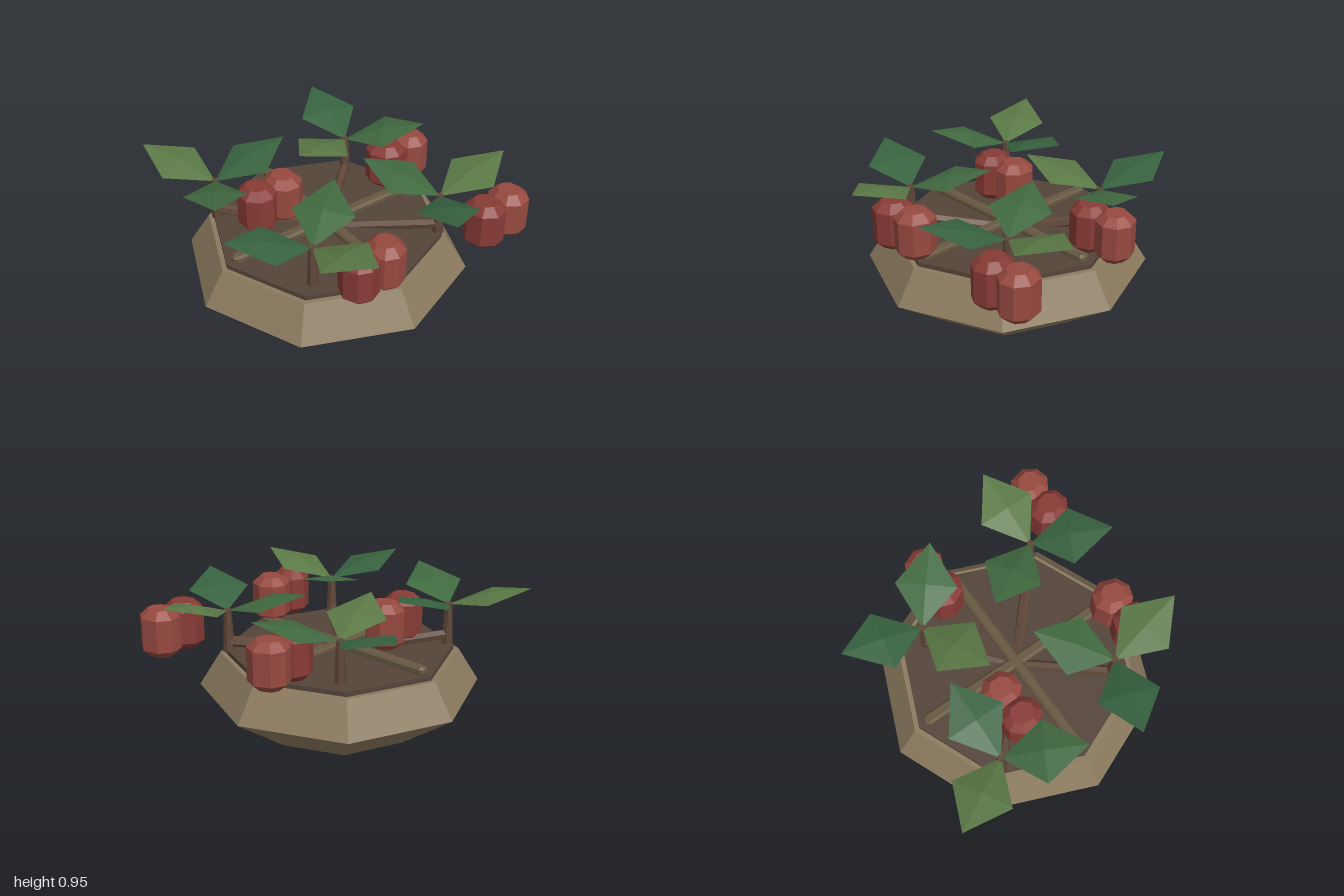
import * as THREE from 'three';

const mat = (color) => new THREE.MeshStandardMaterial({ color, flatShading: true });
const wood = mat(0x8b7a5e), beamWood = mat(0x665840), soil = mat(0x54443a), bark = mat(0x5e4638);
const leafMats = [mat(0x5a7845), mat(0x37623f), mat(0x40693f)];
const fruitMats = [mat(0x883b35), mat(0x96493f)];

const CX = -0.07, CZ = -0.025; // planter centre

function part(parent, name, geometry, material) {
  const mesh = new THREE.Mesh(geometry, material);
  mesh.name = name;
  parent.add(mesh);
  return mesh;
}

// Block with every edge cut at an angle, centred on its middle
function chamferBox(w, h, d, c) {
  const x = w / 2 - c, z = d / 2 - c;
  const k = c * 0.8;
  const shape = new THREE.Shape([
    [x - k, -z], [x, -z + k], [x, z - k], [x - k, z],
    [-x + k, z], [-x, z - k], [-x, -z + k], [-x + k, -z],
  ].map(([a, b]) => new THREE.Vector2(a, b)));
  const geo = new THREE.ExtrudeGeometry(shape, {
    depth: h - 2 * c, bevelEnabled: true, bevelSize: c, bevelThickness: c, bevelSegments: 1,
  });
  geo.center();
  return geo.rotateX(-Math.PI / 2);
}

// Diamond leaf with a raised middle, rising from the stalk top along +x
const leafGeo = new THREE.ConeGeometry(1, 0.03, 4)
  .translate(0, 0.015, 0)
  .scale(0.275, 1, 0.2)
  .rotateZ(0.267)
  .translate(0.265, 0.8725, 0);
const fruitGeo = chamferBox(0.23, 0.315, 0.25, 0.05);

// One plant: stalk, root to the planter centre, three leaves and two fruits
function makePlant({ x, z, leafAngle, fruitTurn }) {
  const plant = new THREE.Group();
  plant.name = 'plant';
  plant.position.set(x, 0, z);

  part(plant, 'stalk', new THREE.CylinderGeometry(0.025, 0.04, 0.29, 6), bark).position.y = 0.665;

  const from = new THREE.Vector3(CX - x, 0.5, CZ - z), to = new THREE.Vector3(0, 0.59, 0);
  const root = part(plant, 'root', new THREE.CylinderGeometry(0.035, 0.035, from.distanceTo(to), 6), bark);
  root.position.copy(from).lerp(to, 0.5);
  root.quaternion.setFromUnitVectors(new THREE.Vector3(0, 1, 0), to.clone().sub(from).normalize());

  leafMats.forEach((m, i) => {
    part(plant, 'leaf', leafGeo, m).rotation.y = -THREE.MathUtils.degToRad(leafAngle + i * 120);
  });

  [[0.15, 0.26], [0.355, 0.25]].forEach(([fx, fz], i) => {
    const fruit = part(plant, 'fruit', fruitGeo, fruitMats[i]);
    fruit.position.set(fx, 0.693, fz);
    fruit.rotation.y = THREE.MathUtils.degToRad(fruitTurn);
  });
  return plant;
}

export function createModel() {
  const model = new THREE.Group();
  model.name = 'planter';

  // Eight-sided bowl
  const profile = [[0, 0], [0.543, 0], [0.93, 0.275], [0.79, 0.5], [0, 0.5]]
    .map(([r, y]) => new THREE.Vector2(r, y));
  part(model, 'bowl', new THREE.LatheGeometry(profile, 8), wood).position.set(CX, 0, CZ);

  // Soil bed
  part(model, 'soil', new THREE.CylinderGeometry(0.757, 0.757, 0.035, 8), soil)
    .position.set(CX, 0.5125, CZ);

  // Crossed beams on the soil
  for (const turn of [0, Math.PI / 2]) {
    const beam = part(model, 'beam', chamferBox(1.425, 0.055, 0.075, 0.015), beamWood);
    beam.position.set(CX, 0.548, CZ);
    beam.rotation.y = turn;
  }

  // Four plants
  [
    { x: 0.465, z: 0.47, leafAngle: 0, fruitTurn: 13 },
    { x: -0.495, z: 0.435, leafAngle: 80, fruitTurn: -20 },
    { x: 0.38, z: -0.43, leafAngle: 160, fruitTurn: 25 },
    { x: -0.6, z: -0.51, leafAngle: 240, fruitTurn: 0 },
  ].forEach((p) => model.add(makePlant(p)));

  return model;
}
